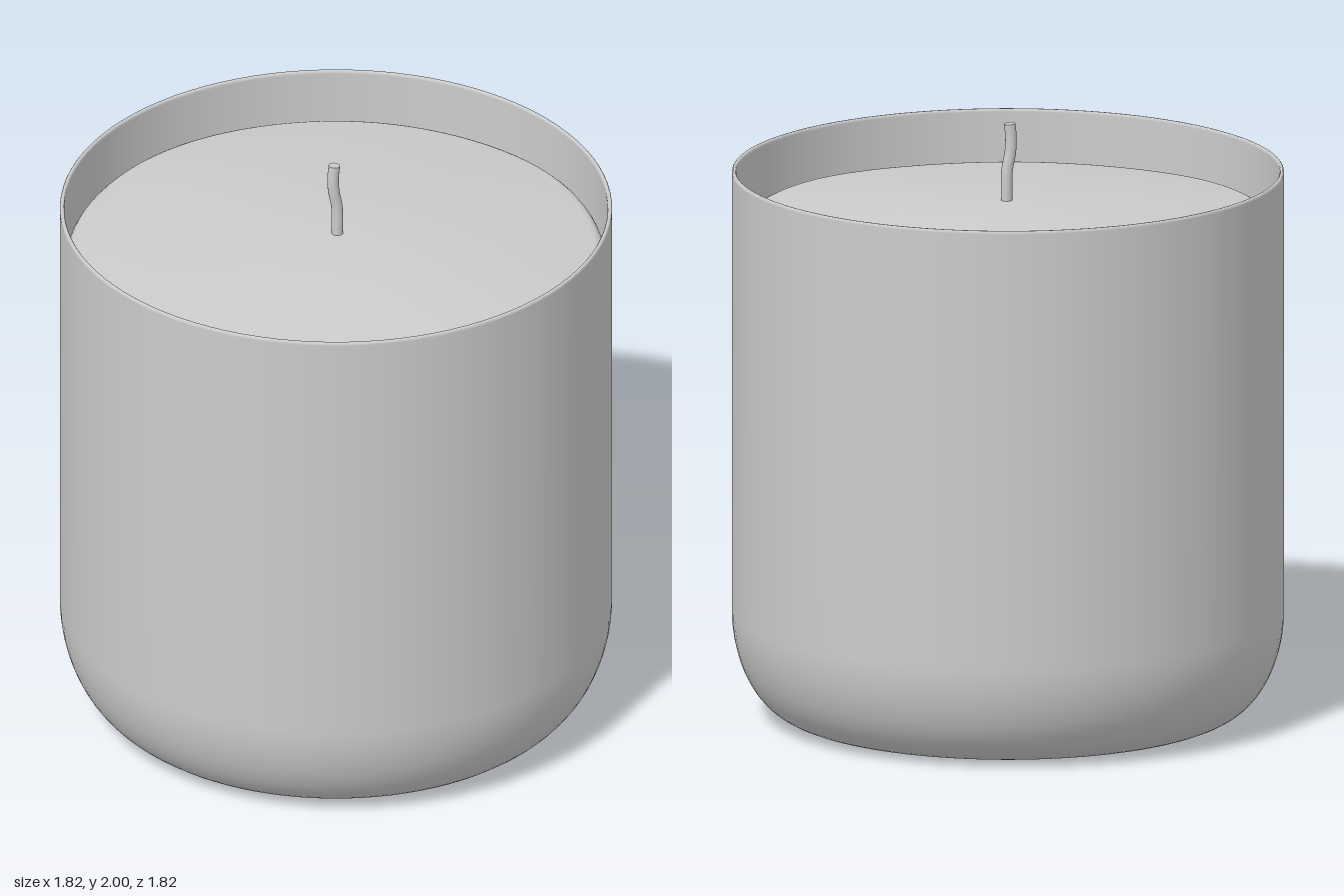
import * as THREE from 'three';

const SEGMENTS = 96;
const v2 = (x, y) => new THREE.Vector2(x, y);

// Quarter ellipse from the flat base (cx, cy - ry) up to the wall (cx + rx, cy)
function cornerArc(cx, cy, rx, ry, steps = 16) {
  return Array.from({ length: steps + 1 }, (_, i) => {
    const a = (i / steps) * Math.PI / 2;
    return v2(cx + rx * Math.sin(a), cy - ry * Math.cos(a));
  });
}

function lathe(name, points, material) {
  const mesh = new THREE.Mesh(new THREE.LatheGeometry(points, SEGMENTS), material);
  mesh.name = name;
  return mesh;
}

export function createModel() {
  const model = new THREE.Group();
  model.name = 'candle';
  const material = new THREE.MeshStandardMaterial({ color: 0xcccccc });

  // Thin-walled jar: base, rounded corner, wall, small rounded rim, inside wall and floor
  const jar = [
    v2(0, 0), v2(0.5, 0.001), v2(0.54, 0.006),
    ...cornerArc(0.69, 0.36, 0.22, 0.352),
    v2(0.91, 0.8), v2(0.91, 1.83), v2(0.909, 1.836), v2(0.906, 1.84),
    v2(0.899, 1.84), v2(0.896, 1.836), v2(0.895, 1.83), v2(0.895, 0.8),
    ...cornerArc(0.685, 0.36, 0.21, 0.335).reverse(),
    v2(0, 0.025),
  ];
  model.add(lathe('jar', jar, material));

  // Wax: fills the jar, with a rolled edge and a gently domed top
  const domeY = (r) => 1.738 - 0.066 * (r / 0.85) ** 2;
  const wax = [v2(0, 0.04), ...cornerArc(0.68, 0.36, 0.205, 0.32, 8), v2(0.888, 1.55)];
  for (let i = 0; i <= 6; i++) {
    const a = (i / 6) * Math.PI / 2;
    wax.push(v2(0.85 + 0.04 * Math.cos(a), domeY(0.85) - 0.05 + 0.05 * Math.sin(a)));
  }
  for (let i = 11; i >= 0; i--) wax.push(v2(0.85 * i / 12, domeY(0.85 * i / 12)));
  const waxMesh = lathe('wax', wax, material);

  // Slight unevenness of the set surface
  const pos = waxMesh.geometry.attributes.position;
  for (let i = 0; i < pos.count; i++) {
    const x = pos.getX(i), y = pos.getY(i), z = pos.getZ(i);
    if (y < 1.56) continue;
    const fade = Math.min(1, Math.hypot(x, z) / 0.3);
    pos.setY(i, y + 0.005 * fade * Math.sin(4 * x + 2 * z + 1) * Math.cos(5 * z - 2 * x));
  }
  // Recomputed normals are averaged across the lathe's seam
  waxMesh.geometry.computeVertexNormals();
  const normal = waxMesh.geometry.attributes.normal;
  for (let j = 0; j < wax.length; j++) {
    const k = SEGMENTS * wax.length + j;
    const n = new THREE.Vector3().fromBufferAttribute(normal, j)
      .add(new THREE.Vector3().fromBufferAttribute(normal, k)).normalize();
    // The centre points share one upright normal
    if (j === wax.length - 1) {
      for (let s = 0; s <= SEGMENTS; s++) normal.setXYZ(s * wax.length + j, 0, 1, 0);
      continue;
    }
    normal.setXYZ(j, n.x, n.y, n.z);
    normal.setXYZ(k, n.x, n.y, n.z);
  }
  model.add(waxMesh);

  // Wick: a slightly bent cord with a flat cut end
  const wickRadius = 0.019;
  const path = new THREE.CatmullRomCurve3([
    [0.004, 1.66], [0.005, 1.75], [0.003, 1.84], [-0.008, 1.9], [-0.01, 1.95], [-0.006, 1.996],
  ].map(([x, y]) => new THREE.Vector3(x, y, 0)));
  const wick = new THREE.Group();
  wick.name = 'wick';
  const cord = new THREE.Mesh(new THREE.TubeGeometry(path, 24, wickRadius, 16), material);
  cord.name = 'wickCord';
  const cap = new THREE.Mesh(new THREE.CircleGeometry(wickRadius, 16), material);
  cap.name = 'wickEnd';
  cap.position.copy(path.getPoint(1));
  cap.quaternion.setFromUnitVectors(new THREE.Vector3(0, 0, 1), path.getTangent(1));
  wick.add(cord, cap);
  model.add(wick);

  return model;
}
